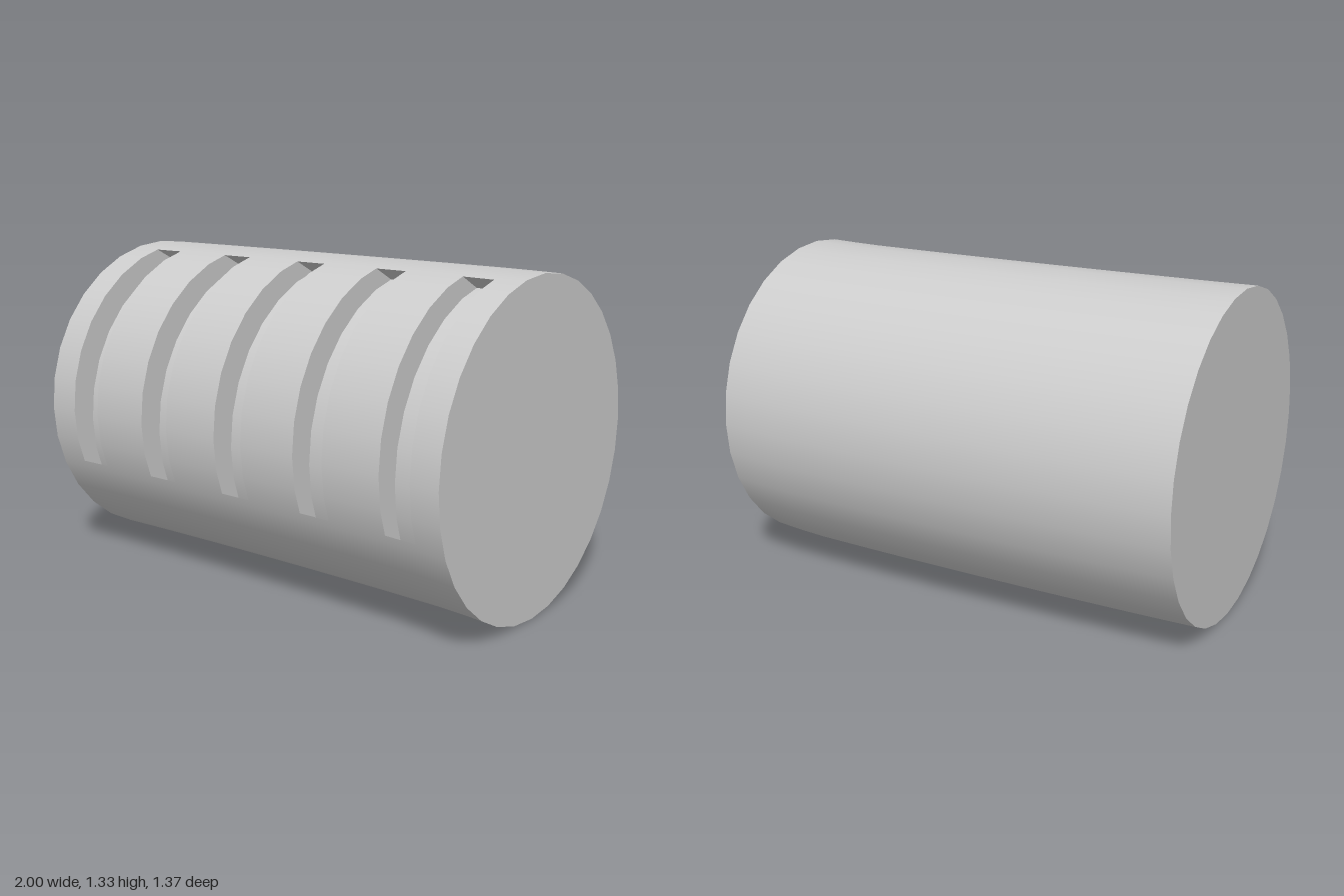
import * as THREE from 'three';

const R = 0.666, SIDES = 32, STEP = 360 / SIDES, CY = 0.666;
const SLOT_FROM = -20, SLOT_TO = 76.5;        // slot arc, degrees up from the front
const SLOT_SHIFT = { z: -0.098, y: -0.052 };  // the floor is the skin pushed inwards
const SLOT_X = [-0.8, -0.4, 0, 0.4, 0.8], HALF = 0.07;

// Gentle bend of the axis: centre z along x
const BEND = [[-1, 0], [-0.8, -0.009], [-0.4, -0.019], [0, -0.022], [0.4, -0.02], [0.73, -0.012], [0.87, 0], [1, 0.018]];
function bend(x) {
  const i = Math.max(1, BEND.findIndex(([bx]) => x <= bx));
  const [x0, z0] = BEND[i - 1], [x1, z1] = BEND[i];
  return z0 + (z1 - z0) * (x - x0) / (x1 - x0);
}

// Point on the 32-sided section at an angle, optionally pushed to the slot floor
function point(x, deg, inner = false) {
  const offset = deg - (Math.floor(deg / STEP) + 0.5) * STEP;
  const r = R * Math.cos(Math.PI / SIDES) / Math.cos(THREE.MathUtils.degToRad(offset));
  const a = THREE.MathUtils.degToRad(deg);
  return [x, CY + r * Math.sin(a) + (inner ? SLOT_SHIFT.y : 0),
    bend(x) + r * Math.cos(a) + (inner ? SLOT_SHIFT.z : 0)];
}

const radial = (deg) => {
  const a = THREE.MathUtils.degToRad(deg);
  return [0, Math.sin(a), Math.cos(a)];
};

// Collects quads; flat normals are used when none are given
function quadBuilder() {
  const positions = [], normals = [];
  return {
    quad(p, n) {
      if (!n) {
        const [a, b, c] = p.map((v) => new THREE.Vector3(...v));
        const flat = b.sub(a).cross(c.sub(a)).normalize().toArray();
        n = [flat, flat, flat, flat];
      }
      for (const i of [0, 1, 2, 0, 2, 3]) {
        positions.push(...p[i]);
        normals.push(...n[i]);
      }
    },
    mesh(name, material) {
      const g = new THREE.BufferGeometry();
      g.setAttribute('position', new THREE.Float32BufferAttribute(positions, 3));
      g.setAttribute('normal', new THREE.Float32BufferAttribute(normals, 3));
      const m = new THREE.Mesh(g, material);
      m.name = name;
      return m;
    },
  };
}

export function createModel() {
  const group = new THREE.Group();
  group.name = 'slottedCylinder';
  const material = new THREE.MeshStandardMaterial({ color: 0xcccccc });
  const skin = quadBuilder(), floors = quadBuilder(), walls = quadBuilder();

  // Section angles, starting at the lower slot end and going once round
  const angles = [SLOT_FROM, SLOT_TO, SLOT_FROM + 360];
  for (let d = -STEP; d < SLOT_FROM + 360; d += STEP) angles.push(d);
  angles.sort((a, b) => a - b);
  const stations = [-1, ...SLOT_X.flatMap((x) => [x - HALF, x + HALF]), 1];

  for (let s = 0; s < stations.length - 1; s++) {
    const x0 = stations[s], x1 = stations[s + 1], slotted = s % 2 === 1;
    for (let i = 0; i < angles.length - 1; i++) {
      const a = angles[i], b = angles[i + 1];
      const cut = slotted && b <= SLOT_TO;
      // Outer skin or slot floor
      (cut ? floors : skin).quad(
        [point(x0, a, cut), point(x1, a, cut), point(x1, b, cut), point(x0, b, cut)],
        [radial(a), radial(a), radial(b), radial(b)]);
      // Slot sides
      if (cut) {
        walls.quad([point(x0, a), point(x0, a, true), point(x0, b, true), point(x0, b)]);
        walls.quad([point(x1, b), point(x1, b, true), point(x1, a, true), point(x1, a)]);
      }
    }
    // Slot ends
    if (slotted) {
      const lo = SLOT_FROM, hi = SLOT_TO;
      walls.quad([point(x0, lo, true), point(x0, lo), point(x1, lo), point(x1, lo, true)]);
      walls.quad([point(x1, hi, true), point(x1, hi), point(x0, hi), point(x0, hi, true)]);
    }
  }
  group.add(skin.mesh('cylinderBody', material), floors.mesh('slotFloors', material), walls.mesh('slotWalls', material));

  // Flat end caps
  for (const side of [-1, 1]) {
    const cap = new THREE.Mesh(new THREE.CircleGeometry(R, SIDES), material);
    cap.name = side > 0 ? 'leftEndCap' : 'rightEndCap';
    cap.rotation.y = side * Math.PI / 2;
    cap.position.set(side, CY, bend(side));
    group.add(cap);
  }
  return group;
}
